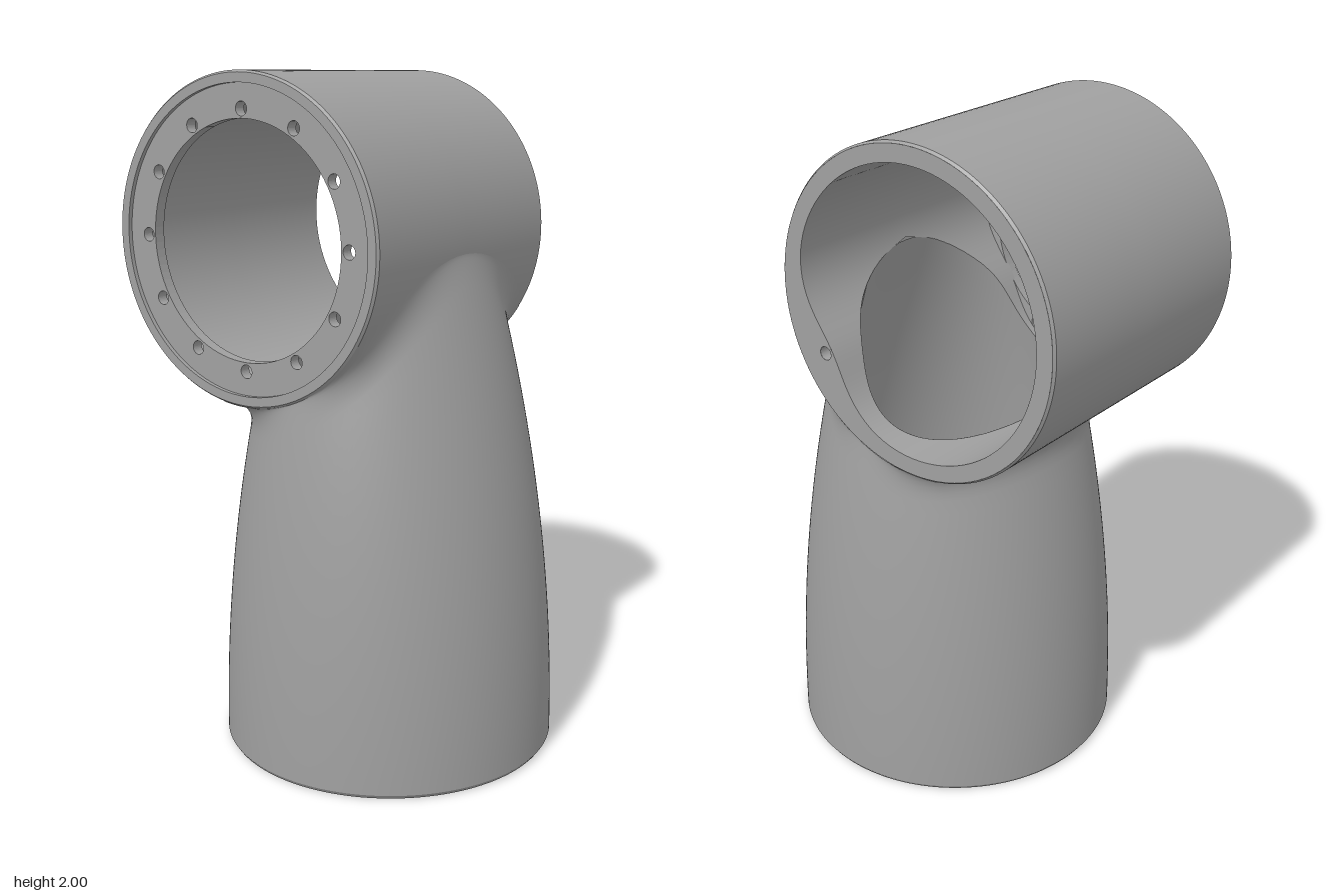
import * as THREE from 'three';

const CX = -0.12, CY = 1.535, R = 0.465, HALF = 0.43;  // horizontal barrel
const COL_X = 0.0825, WALL = 0.05;                     // column
const N = 180, TAU = Math.PI * 2;

// Column radii at height y; inset gives the inner wall
const radX = (y, inset) => 0.5025 - inset - 0.11 * y * y;
const radZ = (y, inset) => 0.505 - inset - 0.066 * y * y;
const colPoint = (a, y, inset) => new THREE.Vector3(
  COL_X + radX(y, inset) * Math.cos(a), y, radZ(y, inset) * Math.sin(a));

// Barrel radii at angle t; the bore is thickened on its lower +x side
const outerR = () => R;
const boreR = (t) => {
  const d = Math.atan2(Math.sin(t + Math.PI / 6), Math.cos(t + Math.PI / 6));
  return 0.41 - 0.075 * Math.exp(-((d / 0.5) ** 2));
};
const barrelPoint = (t, r, z) => new THREE.Vector3(CX + r * Math.cos(t), CY + r * Math.sin(t), z);

// Height at which a line up the column enters the barrel surface
function entryHeight(a, inset, rad) {
  let y = 0.9;
  for (; y < 1.7; y += 0.001) {
    const p = colPoint(a, y, inset);
    if (Math.hypot(p.x - CX, y - CY) < rad(Math.atan2(y - CY, p.x - CX))) break;
  }
  return y;
}

// Half width in z of the column's opening in the barrel at angle t
function openingHalf(t, rad, inset) {
  const p = barrelPoint(t, rad(t), 0);
  if (p.y > CY + 0.1) return 0;
  const k = 1 - ((p.x - COL_X) / radX(p.y, inset)) ** 2;
  return k > 0 ? Math.min(0.42, radZ(p.y, inset) * Math.sqrt(k)) : 0;
}

// Smooth surface through closed rings; ring(j, angle) gives a point
function loft(rows, point) {
  const pos = [], idx = [];
  for (let j = 0; j < rows; j++) {
    for (let i = 0; i < N; i++) pos.push(...point(j, (i / N) * TAU).toArray());
  }
  for (let j = 0; j < rows - 1; j++) {
    for (let i = 0; i < N; i++) {
      const a = j * N + i, b = j * N + (i + 1) % N;
      idx.push(a, a + N, b, b, a + N, b + N);
    }
  }
  const g = new THREE.BufferGeometry();
  g.setAttribute('position', new THREE.Float32BufferAttribute(pos, 3));
  g.setIndex(idx);
  g.computeVertexNormals();
  return g;
}

// Closed outline at a radius given by angle
function outline(rad, Type) {
  const pts = [];
  for (let i = 0; i < 96; i++) {
    const t = (i / 96) * TAU;
    pts.push(new THREE.Vector2(rad(t) * Math.cos(t), rad(t) * Math.sin(t)));
  }
  return new Type(pts);
}
function boltHole(t) {
  const hole = new THREE.Path();
  hole.absarc(0.363 * Math.cos(t), 0.363 * Math.sin(t), 0.02, 0, TAU, true);
  return hole;
}

export function createModel() {
  const model = new THREE.Group();
  const grey = new THREE.MeshStandardMaterial({ color: 0xa0a0a0, side: THREE.DoubleSide });
  grey.name = 'plain grey';
  const add = (name, geometry) => {
    const m = new THREE.Mesh(geometry, grey);
    m.name = name;
    model.add(m);
    return m;
  };

  // Column outer wall, ending in a fillet against the barrel
  const rise = 24, fil = 8, F = 0.1;
  add('columnOuterWall', loft(rise + fil + 1, (j, a) => {
    const top = entryHeight(a, 0, outerR);
    if (j <= rise) return colPoint(a, 0.012 + (top - F - 0.012) * (j / rise), 0);
    const p0 = colPoint(a, top - F, 0), p1 = colPoint(a, top, 0);
    const t = Math.atan2(p1.y - CY, p1.x - CX);
    const side = -Math.sin(t) * Math.cos(a);
    const p2 = barrelPoint(t + (F * side) / R, R, p1.z + F * Math.sin(a));
    p1.z = THREE.MathUtils.clamp(p1.z, -0.425, 0.425);
    p2.z = THREE.MathUtils.clamp(p2.z, -0.425, 0.425);
    return new THREE.QuadraticBezierCurve3(p0, p1, p2).getPoint((j - rise) / fil);
  }));

  // Column inner wall, up to the bore
  add('columnInnerWall', loft(rise + 1, (j, a) =>
    colPoint(a, entryHeight(a, WALL, boreR) * (j / rise), WALL)));

  // Foot edge: chamfer and bottom ring
  add('footChamfer', loft(2, (j, a) => colPoint(a, j * 0.012, j ? 0 : 0.008)));
  add('footRing', loft(2, (j, a) => colPoint(a, 0, j ? 0.008 : WALL)));

  // Barrel outer skin and bore, each split front and back around the opening
  for (const s of [1, -1]) {
    const end = s > 0 ? 'Front' : 'Back';
    add('barrelSkin' + end, loft(7, (j, t) => {
      const h = openingHalf(t, outerR, 0);
      return barrelPoint(t, R, s * (h + (HALF - 0.008 - h) * (j / 6)));
    }));
    add('barrelChamfer' + end, loft(2, (j, t) =>
      barrelPoint(t, R - j * 0.006, s * (HALF - 0.008 * (1 - j)))));
    const boreEnd = s > 0 ? 0.39 : HALF;
    add('bore' + end, loft(7, (j, t) => {
      const h = Math.min(openingHalf(t, boreR, WALL), 0.385);
      return barrelPoint(t, boreR(t), s * (h + (boreEnd - h) * (j / 6)));
    }));
  }

  // Back rim, drilled through its thick side
  const rim = outline(() => R - 0.006, THREE.Shape);
  rim.holes.push(outline(boreR, THREE.Path), boltHole(-Math.PI / 6));
  add('backRim', new THREE.ShapeGeometry(rim, 24)).position.set(CX, CY, -HALF);
  const drill = new THREE.CylinderGeometry(0.02, 0.02, 0.05, 16, 1, true).rotateX(Math.PI / 2);
  add('rimDrilling', drill).position.set(
    CX + 0.363 * Math.cos(Math.PI / 6), CY - 0.363 * 0.5, -HALF + 0.025);

  // Front rim with a shallow step down to the flange
  add('frontRim', loft(2, (j, t) => barrelPoint(t, j ? R - 0.006 : 0.432, HALF)));
  add('frontStep', loft(2, (j, t) => barrelPoint(t, 0.432, j ? HALF : 0.415)));

  // Bolted flange ring
  const ring = outline(() => 0.433, THREE.Shape);
  ring.holes.push(outline(() => 0.337, THREE.Path));
  for (let i = 0; i < 12; i++) ring.holes.push(boltHole((i / 12) * TAU));
  const flange = new THREE.ExtrudeGeometry(ring, { depth: 0.035, bevelEnabled: false, curveSegments: 16 });
  add('boltFlange', flange).position.set(CX, CY, 0.382);

  return model;
}
